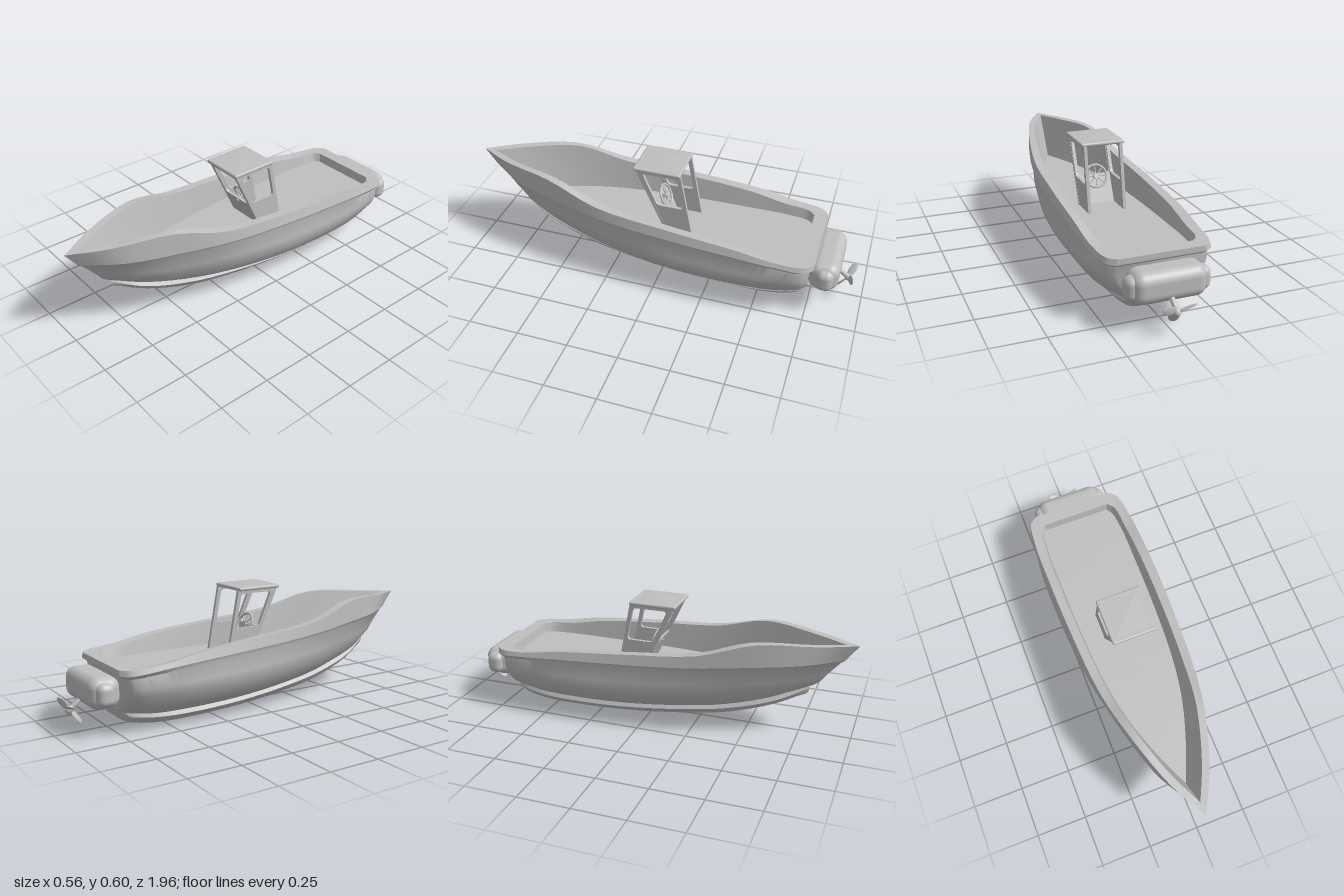
import * as THREE from 'three';
import { toCreasedNormals } from 'three/addons/utils/BufferGeometryUtils.js';
import { RoundedBoxGeometry } from 'three/addons/geometries/RoundedBoxGeometry.js';

const grey = new THREE.MeshStandardMaterial({ color: 0xbfbfbf });
grey.name = 'plain grey';

// Lengthwise hull lines: bow z, stern z, half widths and heights from bow to stern
const STATIONS = [0, 0.1, 0.25, 0.4, 0.6, 0.8, 0.9, 0.98, 1];
const SAMPLES = 32;
function line(zBow, zStern, widths, heights) {
  const pts = STATIONS.map((u, i) => new THREE.Vector3(
    widths[i], heights[i], zBow + (zStern - zBow) * u));
  const curve = new THREE.CatmullRomCurve3(pts);
  const out = [];
  for (let i = 0; i <= SAMPLES; i++) {
    const p = curve.getPoint(i / SAMPLES);
    p.x = Math.max(0, p.x);
    out.push(p);
  }
  const end = out[SAMPLES].clone();
  end.x = 0; // closes the stern on the centre line
  out.push(end);
  return out;
}
const flat = (v) => STATIONS.map(() => v);

const sheerY = [0.475, 0.482, 0.488, 0.418, 0.385, 0.352, 0.322, 0.313, 0.312];
const deckCentre = line(0.81, -0.70, flat(0), flat(0.265));
const deckEdge = line(0.81, -0.70, [0, 0.065, 0.14, 0.18, 0.2, 0.205, 0.205, 0.19, 0.17], flat(0.265));
const innerRim = line(0.94, -0.705, [0, 0.077, 0.155, 0.195, 0.216, 0.221, 0.216, 0.205, 0.175], sheerY);
const sheer = line(1, -0.77, [0, 0.095, 0.183, 0.235, 0.258, 0.264, 0.26, 0.24, 0.2], sheerY);
const railTop = line(0.94, -0.77, [0, 0.115, 0.195, 0.245, 0.27, 0.275, 0.268, 0.248, 0.21],
  [0.395, 0.39, 0.375, 0.355, 0.335, 0.315, 0.3, 0.287, 0.285]);
const railBottom = line(0.92, -0.75, [0, 0.105, 0.187, 0.237, 0.262, 0.267, 0.258, 0.238, 0.2],
  [0.38, 0.375, 0.36, 0.34, 0.315, 0.297, 0.284, 0.272, 0.27]);
const bulge = line(0.86, -0.745, [0, 0.11, 0.19, 0.245, 0.275, 0.28, 0.268, 0.242, 0.195],
  [0.31, 0.3, 0.28, 0.265, 0.245, 0.235, 0.23, 0.225, 0.225]);
const bilge = line(0.83, -0.745, [0, 0.1, 0.175, 0.235, 0.27, 0.273, 0.255, 0.228, 0.185],
  [0.27, 0.255, 0.225, 0.205, 0.19, 0.185, 0.185, 0.185, 0.185]);
const lowBilge = line(0.8, -0.74, [0, 0.08, 0.145, 0.19, 0.222, 0.225, 0.212, 0.185, 0.155],
  [0.25, 0.21, 0.165, 0.14, 0.12, 0.115, 0.117, 0.13, 0.135]);
const chine = line(0.775, -0.735, [0, 0.05, 0.09, 0.12, 0.143, 0.147, 0.143, 0.125, 0.1],
  [0.245, 0.185, 0.125, 0.095, 0.072, 0.066, 0.072, 0.09, 0.1]);
const slabEdge = line(0.79, -0.725, [0, 0.06, 0.1, 0.13, 0.153, 0.157, 0.15, 0.13, 0.1],
  [0.235, 0.17, 0.11, 0.08, 0.055, 0.047, 0.053, 0.07, 0.08]);
const slabLow = line(0.78, -0.715, [0, 0.045, 0.08, 0.105, 0.122, 0.126, 0.122, 0.105, 0.08],
  [0.21, 0.145, 0.08, 0.05, 0.025, 0.016, 0.02, 0.038, 0.05]);
const keel = line(0.77, -0.71, flat(0), [0.2, 0.135, 0.07, 0.035, 0.01, 0.002, 0.007, 0.028, 0.045]);

// Skins neighbouring lines and mirrors them to the other side
function skin(rows, crease) {
  const pos = [];
  const tri = (a, b, c) => {
    for (const p of [a, b, c]) pos.push(p.x, p.y, p.z);
    for (const p of [a, c, b]) pos.push(-p.x, p.y, p.z);
  };
  for (let r = 0; r < rows.length - 1; r++) {
    for (let i = 0; i < rows[r].length - 1; i++) {
      const a = rows[r][i], b = rows[r + 1][i], c = rows[r][i + 1], d = rows[r + 1][i + 1];
      tri(a, b, c);
      tri(b, d, c);
    }
  }
  const g = new THREE.BufferGeometry();
  g.setAttribute('position', new THREE.Float32BufferAttribute(pos, 3));
  return toCreasedNormals(g, crease);
}

// Traces a closed polygon with rounded corners
function trace(path, pts, r) {
  const v = pts.map(([x, y]) => new THREE.Vector2(x, y));
  v.forEach((p, i) => {
    const prev = v[(i + v.length - 1) % v.length], next = v[(i + 1) % v.length];
    const a = p.clone().add(prev.clone().sub(p).setLength(r));
    const b = p.clone().add(next.clone().sub(p).setLength(r));
    if (i === 0) path.moveTo(a.x, a.y); else path.lineTo(a.x, a.y);
    path.quadraticCurveTo(p.x, p.y, b.x, b.y);
  });
  path.closePath();
  return path;
}
function frame(outer, opening, depth) {
  const shape = trace(new THREE.Shape(), outer, 0.001);
  shape.holes.push(trace(new THREE.Path(), opening, 0.018));
  return new THREE.ExtrudeGeometry(shape, { depth, bevelEnabled: false, curveSegments: 5 });
}

export function createModel() {
  const model = new THREE.Group();
  model.name = 'motorBoat';
  const add = (name, geometry, parent = model) => {
    const m = new THREE.Mesh(geometry, grey);
    m.name = name;
    parent.add(m);
    return m;
  };
  const group = (name) => {
    const g = new THREE.Group();
    g.name = name;
    model.add(g);
    return g;
  };

  // Hull
  add('deck', skin([deckCentre, deckEdge], 0.5));
  add('gunwale', skin([deckEdge, innerRim, sheer, railTop], 0.5));
  add('hullSides', skin([railTop, railBottom, bulge, bilge, lowBilge, chine], 0.75));
  add('bottomSlab', skin([chine, slabEdge, slabLow, keel], 0.6));

  // Wheelhouse: sloping front, two side frames and a low hipped roof
  const cabin = group('wheelhouse');
  const front = frame([[-0.1, 0.265], [0.1, 0.265], [0.1, 0.585], [-0.1, 0.585]],
    [[-0.081, 0.395], [-0.081, 0.567], [0.081, 0.567], [0.081, 0.395]], 0.014);
  const p = front.attributes.position;
  for (let i = 0; i < p.count; i++) {
    p.setZ(i, p.getZ(i) - 0.026 + 0.465 * (p.getY(i) - 0.265));
  }
  front.computeVertexNormals();
  add('frontFrame', front, cabin);
  for (const s of [-1, 1]) {
    const side = frame([[-0.15, 0.265], [-0.012, 0.265], [0.133, 0.585], [-0.09, 0.585]],
      [[-0.106, 0.4], [-0.073, 0.566], [0.1, 0.566], [0.027, 0.4]], 0.016);
    side.rotateY(-Math.PI / 2);
    add(s > 0 ? 'leftFrame' : 'rightFrame', side, cabin).position.x = s * 0.091 + 0.008;
  }
  add('roofSlab', new RoundedBoxGeometry(0.22, 0.018, 0.235, 3, 0.008), cabin).position.set(0, 0.589, 0.027);
  const hip = new THREE.ConeGeometry(Math.SQRT1_2, 1, 4, 1, true).rotateY(Math.PI / 4).toNonIndexed();
  hip.scale(0.208, 0.006, 0.223);
  hip.computeVertexNormals();
  add('roofHip', hip, cabin).position.set(0, 0.6, 0.027);

  // Steering wheel with eight spokes
  const wheel = group('steeringWheel');
  wheel.position.set(0, 0.395, 0.01);
  wheel.rotation.x = 0.43;
  add('rim', new THREE.TorusGeometry(0.056, 0.006, 8, 32), wheel);
  add('hub', new THREE.CylinderGeometry(0.014, 0.014, 0.016, 16).rotateX(Math.PI / 2), wheel);
  add('column', new THREE.CylinderGeometry(0.007, 0.007, 0.04, 12).rotateX(Math.PI / 2), wheel).position.z = 0.02;
  for (let i = 0; i < 8; i++) {
    const spoke = new THREE.CylinderGeometry(0.003, 0.003, 0.054, 6).translate(0, 0.027, 0);
    add('spoke', spoke.rotateZ(i * Math.PI / 4), wheel);
  }

  // Outboard motor
  const motor = group('outboardMotor');
  add('motorBody', new RoundedBoxGeometry(0.34, 0.145, 0.145, 6, 0.05), motor).position.set(0, 0.2, -0.812);
  add('motorEnds', new RoundedBoxGeometry(0.39, 0.11, 0.085, 6, 0.035), motor).position.set(0, 0.2, -0.82);

  // Propeller on a slanted shaft; its local y runs down the shaft
  const prop = group('propeller');
  prop.position.set(0, 0.112, -0.922);
  prop.rotation.x = -Math.PI / 2 - 0.66;
  add('shaft', new THREE.CylinderGeometry(0.011, 0.013, 0.09, 14).translate(0, -0.045, 0), prop);
  add('propellerHub', new THREE.SphereGeometry(0.017, 16, 12).scale(1, 1.3, 1), prop);
  for (let i = 0; i < 3; i++) {
    const blade = new THREE.SphereGeometry(1, 16, 10).scale(0.021, 0.004, 0.042);
    blade.rotateZ(0.6).translate(0, 0, 0.048).rotateY(i * Math.PI * 2 / 3);
    add('blade', blade, prop);
  }
  // Aim the first blade up and aft
  prop.rotateY(Math.PI);
  return model;
}
